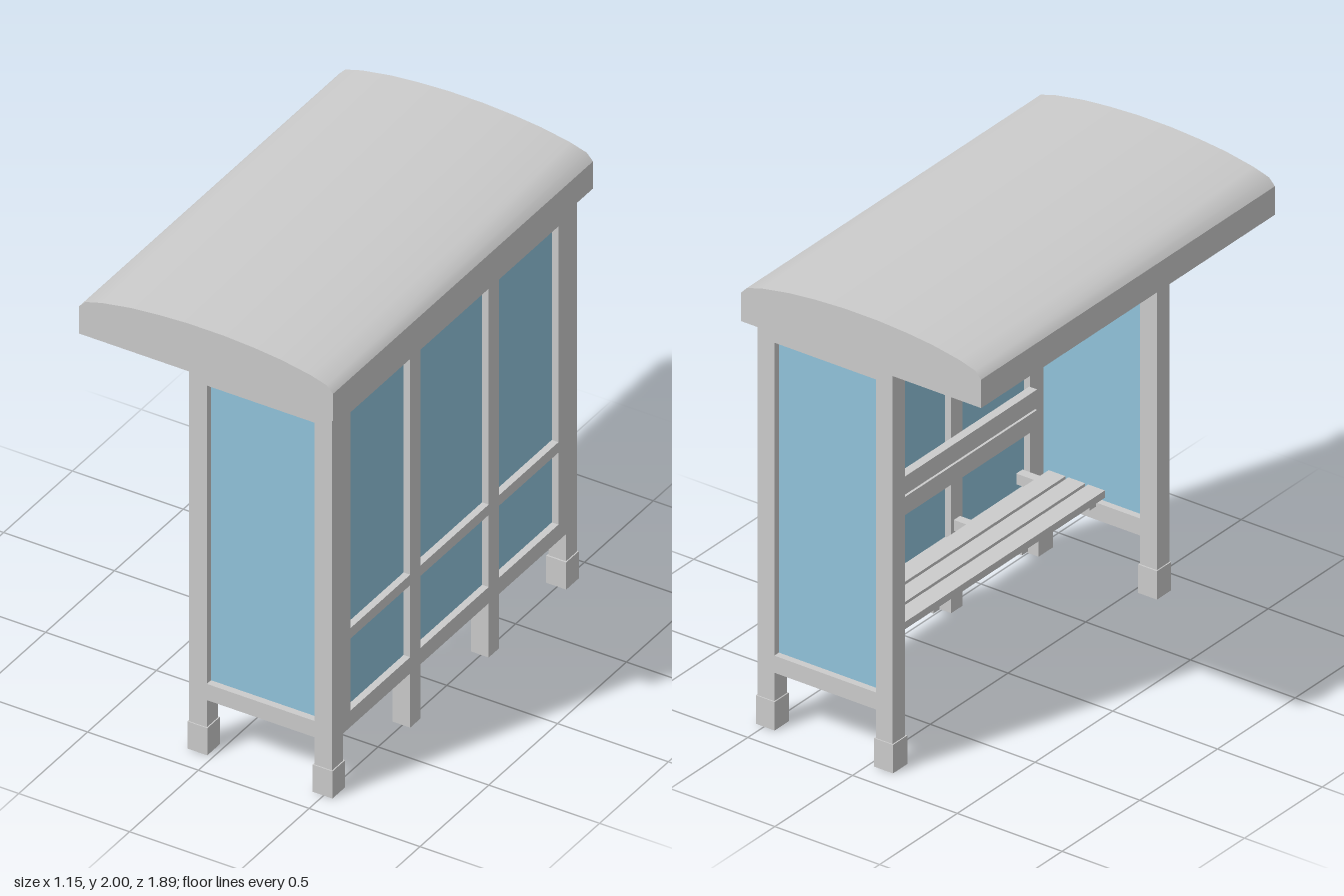
import * as THREE from 'three';
import { toCreasedNormals } from 'three/addons/utils/BufferGeometryUtils.js';

const grey = new THREE.MeshStandardMaterial({ color: 0xcccccc });
const blue = new THREE.MeshStandardMaterial({ color: 0x91c4dc });

// Box given by its min/max extents on each axis
function box(parent, name, [x0, x1], [y0, y1], [z0, z1], material = grey) {
  const mesh = new THREE.Mesh(new THREE.BoxGeometry(x1 - x0, y1 - y0, z1 - z0), material);
  mesh.position.set((x0 + x1) / 2, (y0 + y1) / 2, (z0 + z1) / 2);
  mesh.name = name;
  parent.add(mesh);
  return mesh;
}

function group(parent, name) {
  const g = new THREE.Group();
  g.name = name;
  parent.add(g);
  return g;
}

// Range on the z axis, mirrored when s is -1
const side = (s, a, b) => (s > 0 ? [a, b] : [-b, -a]);

const TOP = 1.785;
const OPEN_POST = [-0.11, -0.03];
const BACK_POST = [0.455, 0.535];
const BOTTOM_RAIL = [0.25, 0.325];
const MID_RAIL = [0.657, 0.705];
const TOP_RAIL = [1.7, TOP];

function buildRoof(parent) {
  // Shallow barrel roof: half profile mirrored, then extruded along z
  const half = [[0.573, 1.78], [0.573, 1.905], [0.545, 1.935], [0.47, 1.957],
    [0.34, 1.98], [0.22, 1.992], [0.08, 2]];
  const profile = [...half, ...half.map(([x, y]) => [-x, y]).reverse()];
  const shape = new THREE.Shape(profile.map(([x, y]) => new THREE.Vector2(x, y)));
  const geometry = new THREE.ExtrudeGeometry(shape, { depth: 1.89, bevelEnabled: false });
  geometry.translate(0, 0, -0.945);
  const roof = new THREE.Mesh(toCreasedNormals(geometry, 0.6), grey);
  roof.name = 'roof';
  parent.add(roof);
}

function buildEndWall(parent, s) {
  const wall = group(parent, s > 0 ? 'frontEndWall' : 'rearEndWall');
  const depth = side(s, 0.81, 0.89);
  for (const post of [OPEN_POST, BACK_POST]) {
    box(wall, 'cornerPost', post, [0, TOP], depth);
    box(wall, 'foot', [post[0] - 0.005, post[1] + 0.005], [0, 0.125], side(s, 0.803, 0.895));
  }
  const span = [OPEN_POST[1], BACK_POST[0]];
  box(wall, 'endBottomRail', span, BOTTOM_RAIL, depth);
  box(wall, 'endTopRail', span, TOP_RAIL, depth);
  box(wall, 'endGlass', span, [0.325, 1.7], side(s, 0.84, 0.86), blue);
}

function buildBackWall(parent) {
  const wall = group(parent, 'backWall');
  for (const s of [-1, 1]) {
    box(wall, 'stile', BACK_POST, [0.25, TOP], side(s, 0.755, 0.81));
    box(wall, 'mullion', BACK_POST, [0, TOP], side(s, 0.248, 0.322));
  }
  // Rails and panes fill the three bays between the uprights
  for (const bay of [[-0.755, -0.322], [-0.248, 0.248], [0.322, 0.755]]) {
    for (const rail of [BOTTOM_RAIL, MID_RAIL, TOP_RAIL]) box(wall, 'backRail', BACK_POST, rail, bay);
    box(wall, 'lowerGlass', [0.485, 0.505], [0.325, 0.657], bay, blue);
    box(wall, 'upperGlass', [0.485, 0.505], [0.705, 1.7], bay, blue);
  }
}

function buildBench(parent) {
  const bench = group(parent, 'bench');
  const length = [-0.75, 0.75];
  // Three seat slats and two backrest boards
  for (let i = 0; i < 3; i++) {
    const x = 0.094 + i * 0.094;
    box(bench, 'seatSlat', [x, x + 0.08], [0.402, 0.434], length);
  }
  for (const y of [0.6, 0.69]) box(bench, 'backrestBoard', [0.417, 0.455], [y, y + 0.08], length);
  // Arms reaching forward from the back wall under the seat
  for (const z of [-0.72, -0.285, 0.285, 0.72]) {
    box(bench, 'seatBracket', [0.13, 0.48], [0.355, 0.402], [z - 0.02, z + 0.02]);
  }
}

export function createModel() {
  const shelter = new THREE.Group();
  shelter.name = 'busShelter';
  buildRoof(shelter);
  for (const s of [-1, 1]) buildEndWall(shelter, s);
  buildBackWall(shelter);
  buildBench(shelter);
  return shelter;
}
